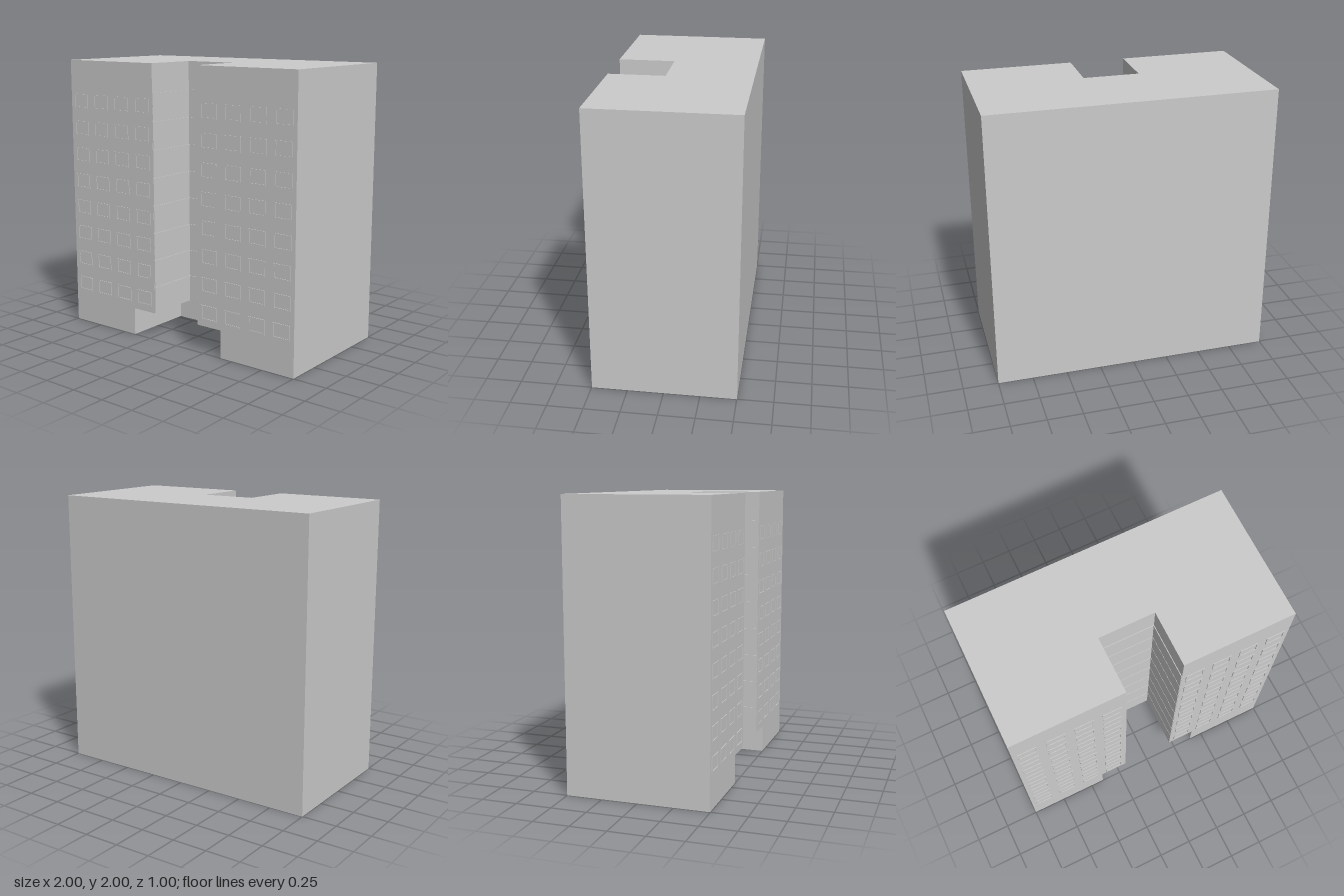
import * as THREE from 'three';

const material = new THREE.MeshStandardMaterial({ color: 0xcccccc, flatShading: true });
const FRONT = 0.4975, BACK = -0.5025;   // main wall planes
const NOTCH = 0.0975;                   // back wall of the upper recess
const LOBBY = -0.03;                    // back wall of the entrance recess
const FLOORS = 8, STOREY = 0.2, RELIEF = 0.006;

function addMesh(parent, geometry, name, x = 0, y = 0, z = 0) {
  const mesh = new THREE.Mesh(geometry, material);
  mesh.name = name;
  mesh.position.set(x, y, z);
  parent.add(mesh);
  return mesh;
}

// U-shaped floor plan with a central front recess, raised to a height
function recessedBlock(halfRecess, recessZ, height) {
  const plan = [
    [-1, BACK], [-1, FRONT], [-halfRecess, FRONT], [-halfRecess, recessZ],
    [halfRecess, recessZ], [halfRecess, FRONT], [1, FRONT], [1, BACK],
  ].map(([x, z]) => new THREE.Vector2(x, -z));
  const geometry = new THREE.ExtrudeGeometry(new THREE.Shape(plan), { depth: height, bevelEnabled: false });
  return geometry.rotateX(-Math.PI / 2);
}

// Thin rectangular frame with an open centre
function frameGeometry(width, height, bar) {
  const rectangle = (w, h) => [[-w, -h], [w, -h], [w, h], [-w, h]].map(([x, y]) => new THREE.Vector2(x / 2, y / 2));
  const shape = new THREE.Shape(rectangle(width, height));
  shape.holes.push(new THREE.Path(rectangle(width - 2 * bar, height - 2 * bar)));
  return new THREE.ExtrudeGeometry(shape, { depth: RELIEF, bevelEnabled: false });
}

export function createModel() {
  const model = new THREE.Group();
  model.name = 'apartmentBlock';

  // Main volume: ground floor with a wide entrance, tower with a narrow recess
  addMesh(model, recessedBlock(0.4, LOBBY, STOREY), 'groundFloor');
  addMesh(model, recessedBlock(0.2, NOTCH, 2 - STOREY), 'tower', 0, STOREY, 0);

  // Window frames, four columns on each wing
  const windows = new THREE.Group();
  windows.name = 'windows';
  model.add(windows);
  const frame = frameGeometry(0.135, 0.105, 0.01);

  // Wall panels lining the three sides of the recess
  const panels = new THREE.Group();
  panels.name = 'recessPanels';
  model.add(panels);
  const panelHeight = STOREY - 0.01;
  const depth = FRONT - NOTCH;
  const backPanel = new THREE.BoxGeometry(0.4, panelHeight, RELIEF);
  const sidePanel = new THREE.BoxGeometry(RELIEF, panelHeight, depth - 0.002);

  for (let floor = 0; floor < FLOORS; floor++) {
    const y = STOREY * (floor + 1.5);
    addMesh(panels, backPanel, 'backPanel', 0, y, NOTCH + RELIEF / 2 - 0.001);
    for (const side of [-1, 1]) {
      addMesh(panels, sidePanel, 'sidePanel', side * (0.2 - RELIEF / 2 + 0.001), y, NOTCH + depth / 2);
      for (let column = 0; column < 4; column++) {
        addMesh(windows, frame, 'windowFrame', side * (0.3 + 0.2 * column), y, FRONT - 0.001);
      }
    }
  }
  return model;
}
